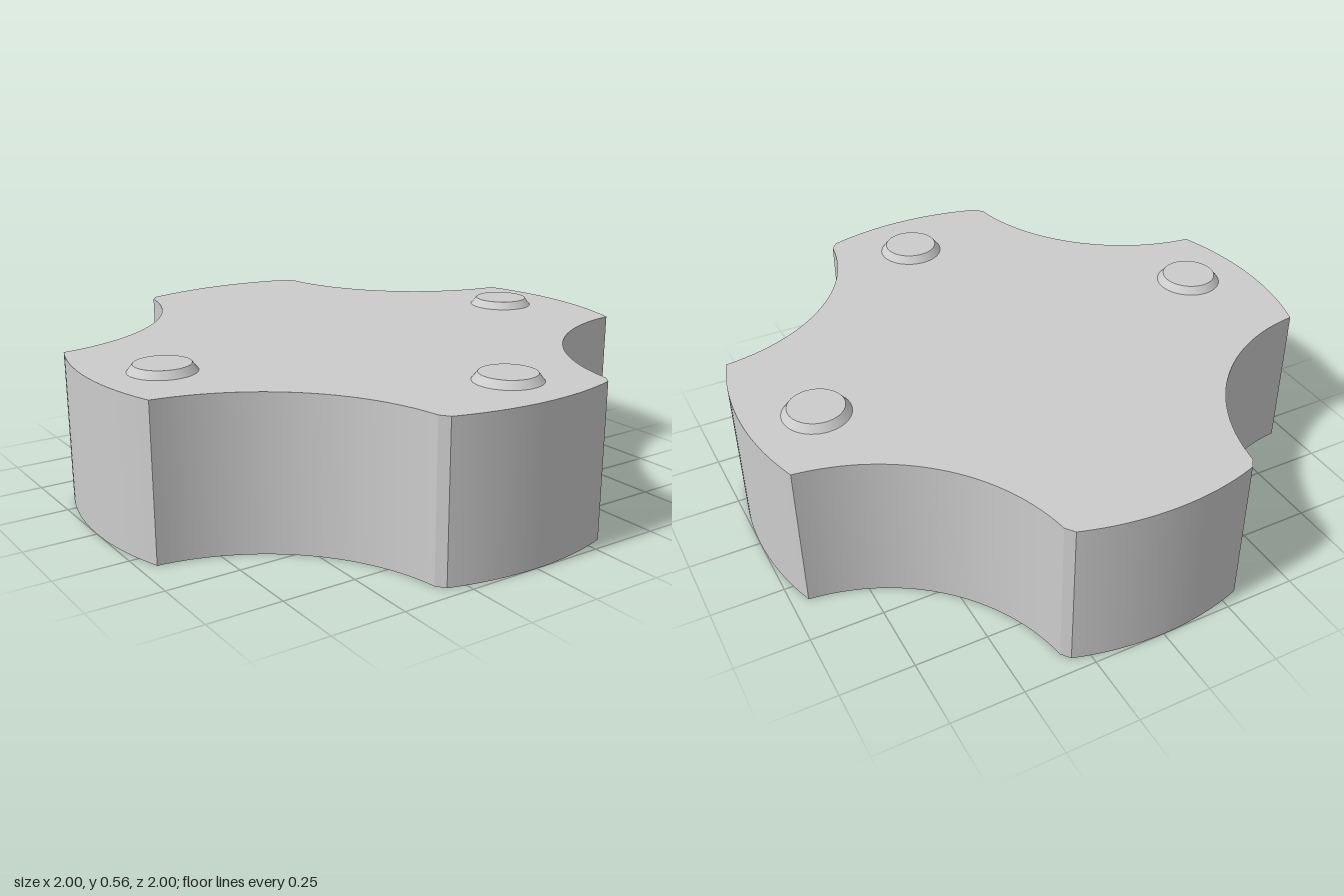
import * as THREE from 'three';
import { toCreasedNormals } from 'three/addons/utils/BufferGeometryUtils.js';

const HEIGHT = 0.53;

// Points along an arc, as [x, y]
function arc(cx, cy, r, a0, a1, n) {
  return Array.from({ length: n + 1 }, (_, i) => {
    const a = a0 + (a1 - a0) * i / n;
    return [cx + r * Math.cos(a), cy + r * Math.sin(a)];
  });
}

// Cross outline: convex tips on a unit circle, joined by concave scoops.
// One quarter is drawn, then mirrored and turned half round.
function bodyOutline() {
  const sharp = Math.atan2(0.33, 0.944);  // half angle of the sharp side tips
  const blunt = Math.atan2(0.31, 0.951);  // half angle of the chamfered tips
  const quarter = [
    ...arc(0, 0, 1, 0, sharp, 12),
    ...arc(1.01, 1.01, 0.683, -1.667, -3.01, 36).slice(1),
    ...arc(0, 0, 1, Math.PI / 2 - blunt, Math.PI / 2, 12),
  ];
  const mirrored = quarter.map(([x, y]) => [-x, y]).reverse().slice(1);
  const half = [...quarter, ...mirrored].slice(0, -1);
  const full = [...half, ...half.map(([x, y]) => [-x, -y])];
  return new THREE.Shape(full.map(([x, y]) => new THREE.Vector2(x, y)));
}

export function createModel() {
  const group = new THREE.Group();
  const grey = new THREE.MeshStandardMaterial({ color: 0xcccccc });
  grey.name = 'plain grey';

  // Thick cross-shaped body
  const bodyGeo = new THREE.ExtrudeGeometry(bodyOutline(), { depth: HEIGHT, bevelEnabled: false });
  bodyGeo.rotateX(-Math.PI / 2);
  const body = new THREE.Mesh(toCreasedNormals(bodyGeo, 0.3), grey);
  body.name = 'body';
  group.add(body);

  // Low tapered studs on three of the tips
  const studHeight = 0.026;
  const studGeo = new THREE.CylinderGeometry(0.095, 0.115, studHeight, 48);
  [[-0.77, 0.065], [0.765, -0.07], [0.065, 0.765]].forEach(([x, z], i) => {
    const stud = new THREE.Mesh(studGeo, grey);
    stud.name = 'stud' + (i + 1);
    stud.position.set(x, HEIGHT + studHeight / 2, z);
    group.add(stud);
  });
  return group;
}
